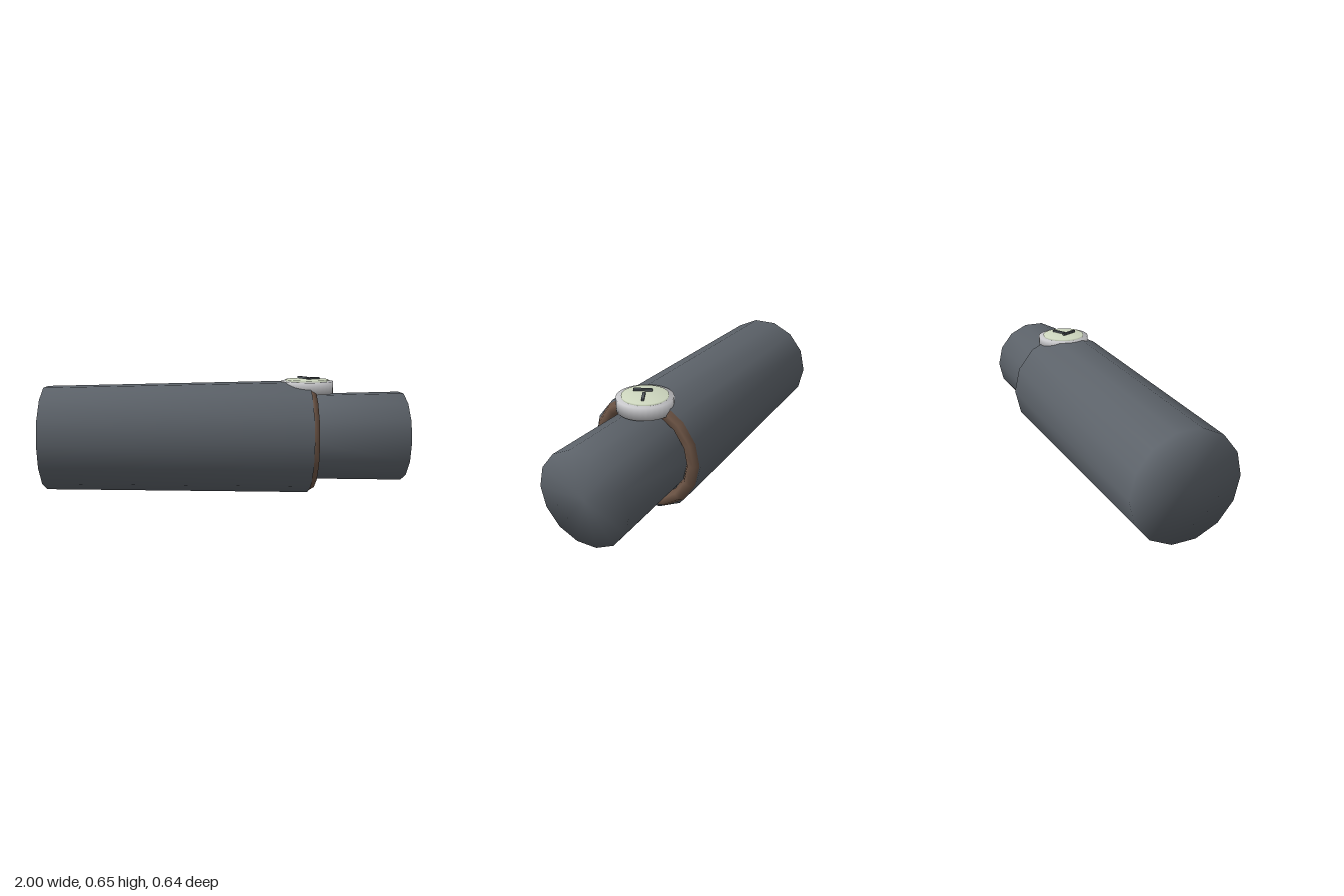
import * as THREE from 'three';
import { mergeVertices } from 'three/addons/utils/BufferGeometryUtils.js';

const mat = (name, color) => {
  const m = new THREE.MeshStandardMaterial({ color });
  m.name = name;
  return m;
};

// Share normals across every edge for a soft, rounded shading
function soften(geometry) {
  geometry.deleteAttribute('uv');
  geometry.deleteAttribute('normal');
  const merged = mergeVertices(geometry, 1e-4);
  merged.computeVertexNormals();
  return merged;
}

export function createModel() {
  const slate = mat('slate grey', 0x5c6269);
  const brown = mat('strap brown', 0x6b5344);
  const silver = mat('case silver', 0xc6c6c9);
  const cream = mat('dial pale green', 0xcfd8c0);
  const dark = mat('hand dark grey', 0x4f5559);

  const model = new THREE.Group();
  model.name = 'armWithWatch';

  const add = (name, geometry, material, x, y, z = 0, parent = model) => {
    const mesh = new THREE.Mesh(geometry, material);
    mesh.name = name;
    mesh.position.set(x, y, z);
    parent.add(mesh);
    return mesh;
  };

  // Tapered 14-sided tube lying along x, with a corner facing front and back
  const limb = (name, x0, x1, r0, r1) => {
    const g = new THREE.CylinderGeometry(r1, r0, x1 - x0, 14);
    g.rotateZ(-Math.PI / 2);
    add(name, soften(g), slate, (x0 + x1) / 2, 0.315);
  };
  limb('sleeve', -1, 0.465, 0.292, 0.32);
  limb('wrist', 0.44, 1, 0.242, 0.253);

  // Strap ring around the wrist
  const ring = new THREE.TorusGeometry(0.278, 0.035, 6, 16);
  ring.rotateY(Math.PI / 2);
  add('strap', ring, brown, 0.465, 0.315);

  // Watch case and dial
  const watch = new THREE.Group();
  watch.name = 'watch';
  watch.position.set(0.463, 0, 0);
  model.add(watch);
  add('case', soften(new THREE.CylinderGeometry(0.147, 0.147, 0.068, 32)), silver, 0, 0.595, 0, watch);
  add('dial', soften(new THREE.CylinderGeometry(0.12, 0.12, 0.02, 32)), cream, 0, 0.628, 0, watch);

  // Clock hands, each drawn between two points on the dial
  const hand = (name, [x0, z0], [x1, z1], y, height) => {
    const length = Math.hypot(x1 - x0, z1 - z0);
    const mesh = add(name, new THREE.BoxGeometry(length, height, 0.015), dark,
      (x0 + x1) / 2, y, (z0 + z1) / 2, watch);
    mesh.rotation.y = -Math.atan2(z1 - z0, x1 - x0);
  };
  hand('minuteHand', [-0.045, -0.017], [-0.003, 0.071], 0.6495, 0.012);
  hand('hourHand', [0, 0.006], [0.073, -0.033], 0.643, 0.011);

  return model;
}
